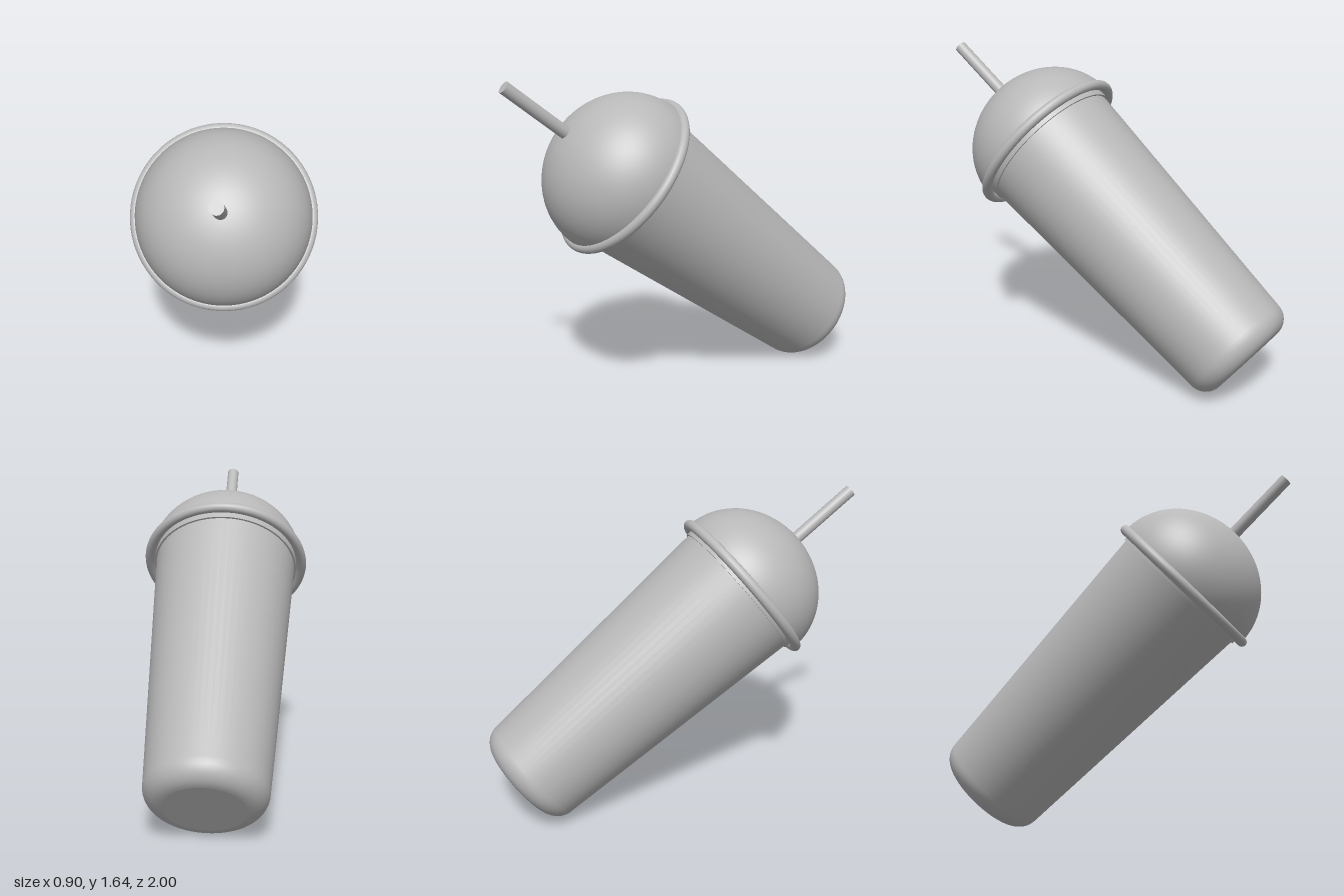
import * as THREE from 'three';

export function createModel() {
  const model = new THREE.Group();
  const grey = new THREE.MeshStandardMaterial({ color: 0xb8b8b8 });
  grey.name = 'plain grey';

  // The cup is built upright around its rim, then tipped forward
  const tumbler = new THREE.Group();
  tumbler.name = 'tumbler';
  tumbler.position.set(0, 1.152, 0.375);
  tumbler.rotation.x = THREE.MathUtils.degToRad(52.3);
  model.add(tumbler);

  const add = (name, geometry, y = 0) => {
    const mesh = new THREE.Mesh(geometry, grey);
    mesh.name = name;
    mesh.position.y = y;
    tumbler.add(mesh);
    return mesh;
  };

  // Tapered cup wall with a rounded bottom edge
  const bottom = -1.56, fillet = 0.1, baseRadius = 0.3;
  const profile = [];
  for (let i = 0; i <= 10; i++) {
    const a = (i / 10) * Math.PI / 2;
    profile.push(new THREE.Vector2(
      baseRadius - fillet + fillet * Math.sin(a),
      bottom + fillet - fillet * Math.cos(a)));
  }
  profile.push(new THREE.Vector2(0.388, 0));
  add('cupBody', new THREE.LatheGeometry(profile, 64));

  // Flat underside
  const base = add('cupBase', new THREE.CircleGeometry(baseRadius - fillet, 64), bottom);
  base.rotation.x = Math.PI / 2;

  // Lid: short skirt, rolled rim and slightly flattened dome
  add('lidSkirt', new THREE.CylinderGeometry(0.395, 0.395, 0.04, 64), -0.02);
  const rim = add('lidRim', new THREE.TorusGeometry(0.425, 0.026, 16, 80));
  rim.rotation.x = Math.PI / 2;
  const dome = add('lidDome',
    new THREE.SphereGeometry(0.425, 64, 24, 0, Math.PI * 2, 0, Math.PI / 2));
  dome.scale.y = 0.905;
  const underside = add('lidUnderside', new THREE.CircleGeometry(0.425, 64));
  underside.rotation.x = Math.PI / 2;

  // Straw through the top of the dome
  add('straw', new THREE.CylinderGeometry(0.032, 0.032, 0.565, 32), 0.4825);

  return model;
}
